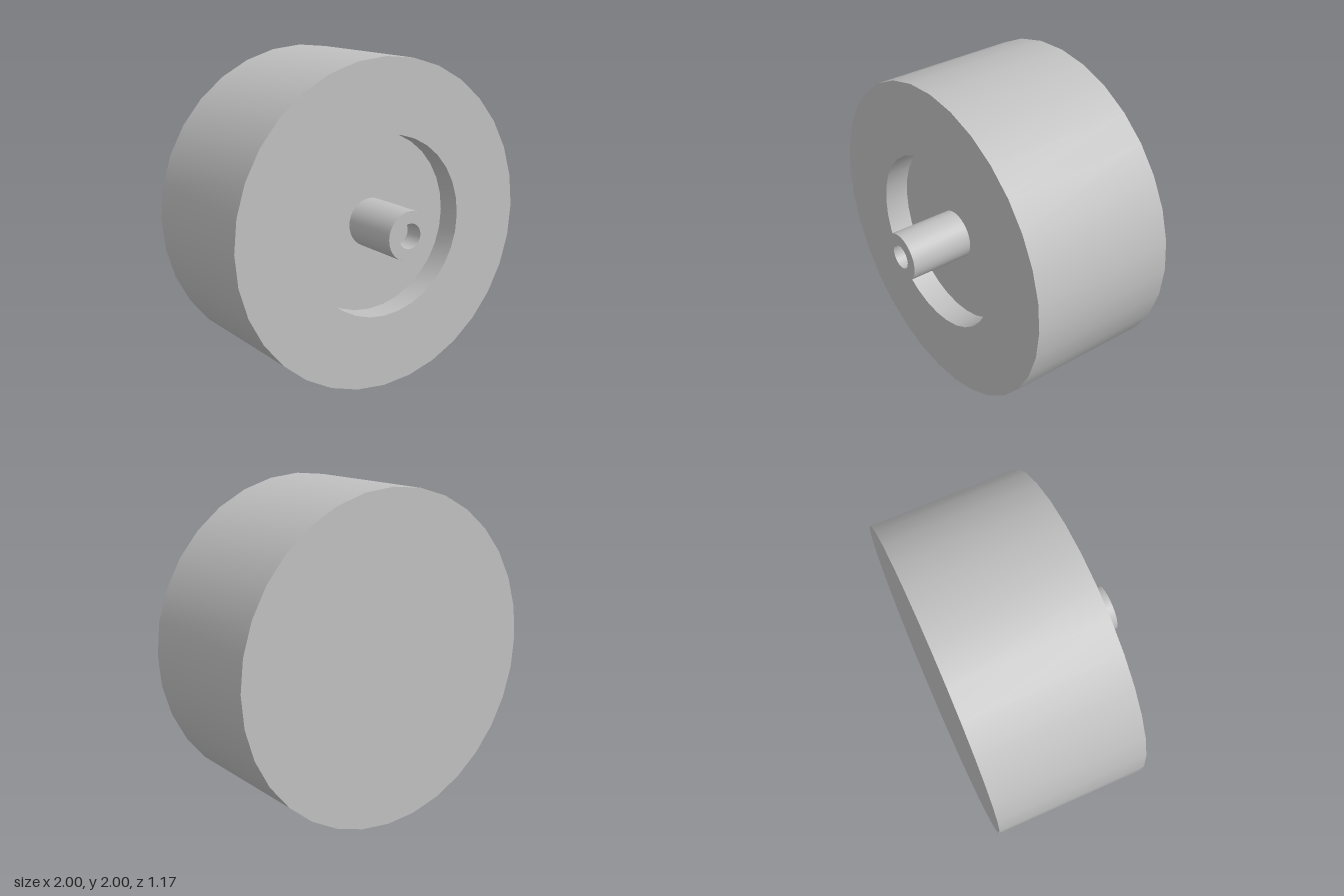
import * as THREE from 'three';
import { toCreasedNormals } from 'three/addons/utils/BufferGeometryUtils.js';

const BACK = -0.585, FACE = 0.345, FLOOR = 0.19, TIP = 0.585;

// Revolves [radius, z] points around the z axis, keeping sharp rims
function turned(name, profile, material) {
  const points = profile.map(([r, z]) => new THREE.Vector2(r, z));
  const geometry = new THREE.LatheGeometry(points, 32).rotateX(Math.PI / 2);
  const mesh = new THREE.Mesh(toCreasedNormals(geometry, Math.PI / 5), material);
  mesh.name = name;
  mesh.position.y = 1;
  return mesh;
}

export function createModel() {
  const model = new THREE.Group();
  model.name = 'wheel';
  const grey = new THREE.MeshStandardMaterial({ color: 0xc0c0c0 });
  grey.name = 'plain grey';

  // Solid drum with a round recess in its front face
  model.add(turned('drum', [
    [0, BACK], [1, BACK], [1, FACE], [0.55, FACE], [0.55, FLOOR], [0, FLOOR],
  ], grey));

  // Axle standing in the recess, with a blind hole in its tip
  model.add(turned('axle', [
    [0.148, FLOOR], [0.148, TIP], [0.075, TIP], [0.075, TIP - 0.12], [0, TIP - 0.12],
  ], grey));

  return model;
}
